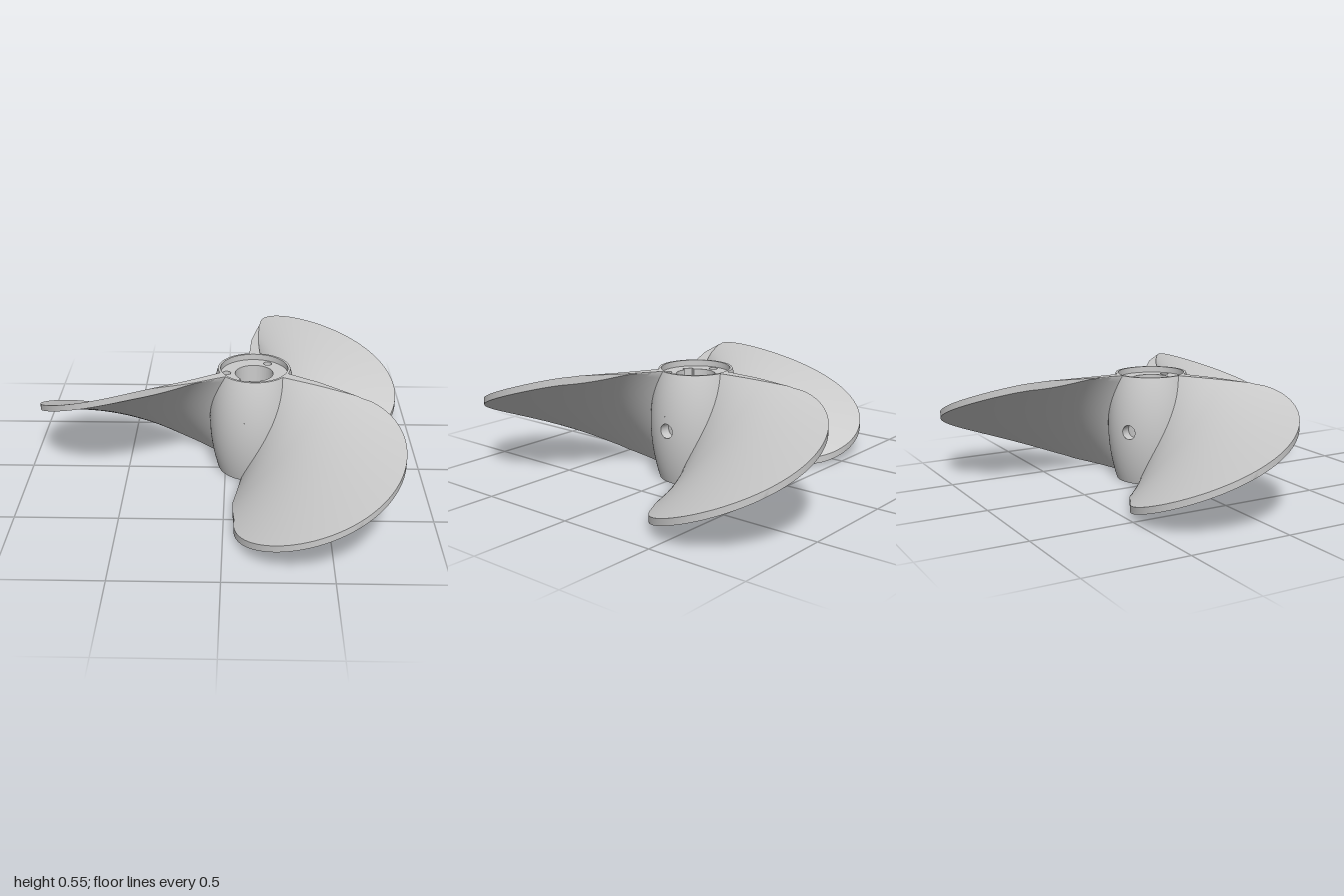
import * as THREE from 'three';
import { toCreasedNormals } from 'three/addons/utils/BufferGeometryUtils.js';
import { ParametricGeometry } from 'three/addons/geometries/ParametricGeometry.js';

const H = 0.55, MID = H / 2, DEG = Math.PI / 180;
const BORE = 0.095, CORE = 0.168, RIM = 0.18, FLOOR = 0.52;
const SCREWS = [0, 240 * DEG];
const mat = new THREE.MeshStandardMaterial({ color: 0xcccccc, side: THREE.DoubleSide });

function add(parent, name, geometry) {
  const mesh = new THREE.Mesh(geometry, mat);
  mesh.name = name;
  parent.add(mesh);
  return mesh;
}

const barrelRadius = (y) => RIM + 0.042 * (1 - ((y - MID) / MID) ** 2);

// Point on the barrel wall at an angle and height
function onBarrel(angle, y, target) {
  const r = barrelRadius(y);
  target.set(r * Math.cos(angle), y, r * Math.sin(angle));
}

// Blade: a helical sheet with a rounded outline, cut flat at hub top and bottom
function bladeGeometry() {
  const pitch = 0.44, skew = 6.3 * DEG;           // rise per radian, mid angle
  const dist = 0.714, round = 0.385;              // round outer end
  const r0 = 0.172, r1 = dist + round, rows = 70;
  const spans = [4, 36, 4];
  const pos = [], index = [];
  let loop = 0;
  for (let i = 0; i <= rows; i++) {
    const r = r0 + (r1 - r0) * Math.sin((i / rows) * Math.PI / 2);
    // Edge angles: tapered root, circular tip
    let lo, hi;
    if (r < 0.63) {
      const s = (0.63 - r) / (0.63 - r0);
      lo = (-26.6 - 12.4 * s ** 1.6) * DEG;
      hi = (38.3 + 13.7 * s ** 1.15) * DEG;
    } else {
      const c = (r * r + dist * dist - round * round) / (2 * r * dist);
      const w = Math.acos(Math.min(1, c));
      lo = 5.85 * DEG - w;
      hi = 5.85 * DEG + w;
    }
    const thick = 0.03 + 0.024 * Math.max(0, (0.4 - r) / 0.23) ** 1.5;
    const half = thick / 2 * Math.sqrt(1 + (pitch / r) ** 2);
    const reach = (MID + half) / pitch - 0.01;
    lo = Math.max(lo, skew - reach);
    hi = Math.min(hi, skew + reach);
    // Columns follow the lines where the faces meet the flat cuts
    const flat = (MID - half) / pitch;
    const stops = [lo, Math.min(hi, Math.max(lo, skew - flat)), Math.max(lo, Math.min(hi, skew + flat)), hi];
    const angles = [lo];
    spans.forEach((n, k) => {
      for (let j = 1; j <= n; j++) angles.push(stops[k] + (stops[k + 1] - stops[k]) * j / n);
    });
    const put = (a, side) => {
      const y = MID - pitch * (a - skew) + side * half;
      pos.push(r * Math.cos(a), Math.min(H, Math.max(0, y)), r * Math.sin(a));
    };
    angles.forEach((a) => put(a, 1));
    angles.slice().reverse().forEach((a) => put(a, -1));
    loop = angles.length * 2;
  }
  for (let i = 0; i < rows; i++) {
    for (let k = 0; k < loop; k++) {
      const a = i * loop + k, b = i * loop + (k + 1) % loop;
      index.push(a, b, a + loop, b, b + loop, a + loop);
    }
  }
  const g = new THREE.BufferGeometry();
  g.setAttribute('position', new THREE.Float32BufferAttribute(pos, 3));
  g.setIndex(index);
  return toCreasedNormals(g, 0.5);
}

// Core slab: disc with keyed bore, optionally with bolt holes
function coreGeometry(y0, y1, boltHoles) {
  const shape = new THREE.Shape().absarc(0, 0, CORE, 0, Math.PI * 2, false);
  const key = -120 * DEG, w = 0.025, out = 0.117;
  const d = Math.asin(w / BORE), c = Math.cos(key), s = Math.sin(key);
  const bore = new THREE.Path();
  bore.absarc(0, 0, BORE, key + d, key - d + Math.PI * 2, false);
  bore.lineTo(out * c + w * s, out * s - w * c);
  bore.lineTo(out * c - w * s, out * s + w * c);
  bore.closePath();
  shape.holes.push(bore);
  if (boltHoles) {
    for (let i = 0; i < 3; i++) {
      const a = Math.PI + i * 120 * DEG;
      shape.holes.push(new THREE.Path().absarc(0.138 * Math.cos(a), 0.138 * Math.sin(a), 0.021, 0, Math.PI * 2, true));
    }
  }
  const g = new THREE.ExtrudeGeometry(shape, { depth: y1 - y0, bevelEnabled: false, curveSegments: 48 });
  g.rotateX(-Math.PI / 2).translate(0, y0, 0);
  return toCreasedNormals(g, 0.5);
}

function buildHub(hub) {
  // Barrel wall in panels, leaving square gaps for the screw holes
  const gap = 0.07, gapAngle = gap / 0.222;
  const panel = (a0, a1, y0, y1, n, m) => add(hub, 'barrelWall', new ParametricGeometry(
    (u, v, t) => onBarrel(a0 + (a1 - a0) * u, y0 + (y1 - y0) * v, t), n, m));
  panel(0, Math.PI * 2, 0, MID - gap, 72, 10);
  panel(0, Math.PI * 2, MID + gap, H, 72, 10);
  panel(SCREWS[0] + gapAngle, SCREWS[1] - gapAngle, MID - gap, MID + gap, 48, 6);
  panel(SCREWS[1] + gapAngle, Math.PI * 2 - gapAngle, MID - gap, MID + gap, 24, 6);

  // Square patch with a round hole, and the hole's lining
  const holeR = 0.036;
  for (const angle of SCREWS) {
    add(hub, 'screwHoleSurround', new ParametricGeometry((u, v, t) => {
      const c = Math.cos(u * Math.PI * 2), s = Math.sin(u * Math.PI * 2);
      const k = holeR + (gap / Math.max(Math.abs(c), Math.abs(s)) - holeR) * v;
      onBarrel(angle + k * c / 0.222, MID + k * s, t);
    }, 48, 4));
    const lining = new THREE.CylinderGeometry(holeR, holeR, 0.06, 32, 1, true);
    lining.rotateZ(Math.PI / 2).translate(0.19, MID, 0).rotateY(-angle);
    add(hub, 'screwHole', lining);
  }

  // Top lip around the recess, and the bottom ring
  const lip = [[CORE, FLOOR], [CORE, H], [RIM, H]].map((p) => new THREE.Vector2(...p));
  add(hub, 'topLip', toCreasedNormals(new THREE.LatheGeometry(lip, 72), 0.5));
  const ring = [[CORE, 0], [RIM, 0]].map((p) => new THREE.Vector2(...p));
  add(hub, 'bottomRing', new THREE.LatheGeometry(ring, 72));

  add(hub, 'lowerCore', coreGeometry(0, 0.44, false));
  add(hub, 'boltFlange', coreGeometry(0.44, FLOOR, true));
}

export function createModel() {
  const model = new THREE.Group();
  model.name = 'propeller';
  const hub = new THREE.Group();
  hub.name = 'hub';
  buildHub(hub);
  model.add(hub);

  const blade = bladeGeometry();
  for (let i = 0; i < 3; i++) {
    add(model, 'blade' + (i + 1), blade).rotation.y = Math.PI + i * 120 * DEG;
  }
  // The shaft axis sits off the middle of the three-bladed outline
  model.children.forEach((part) => part.position.set(0.143, 0, -0.042));
  return model;
}
